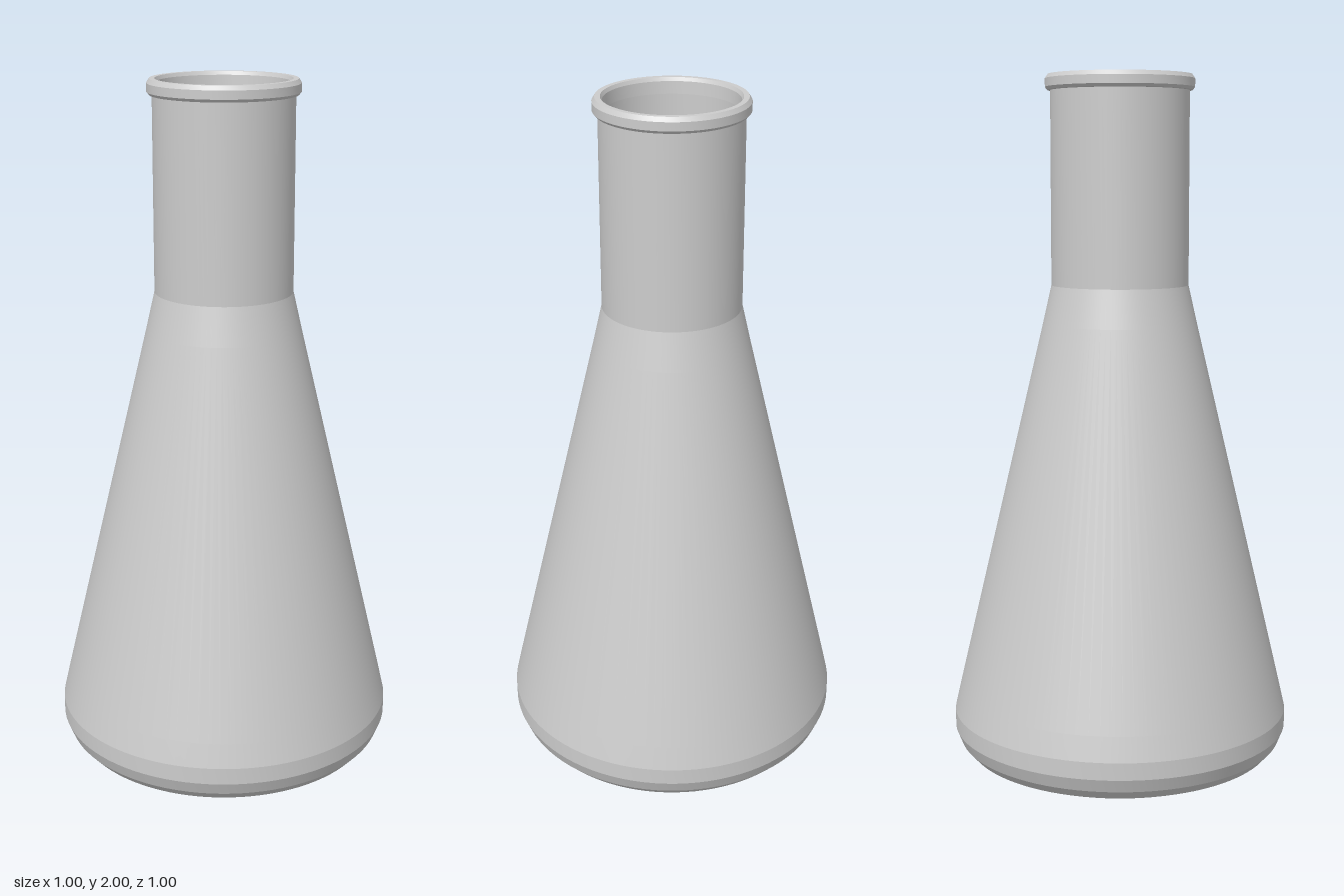
import * as THREE from 'three';
import { toCreasedNormals } from 'three/addons/utils/BufferGeometryUtils.js';

const glass = new THREE.MeshStandardMaterial({ color: 0xcccccc });
glass.name = 'grey glass';

// Revolve a profile of [radius, height] points, keeping the bands between them crisp
function revolve(name, profile) {
  const points = profile.map(([r, y]) => new THREE.Vector2(r, y));
  const geometry = toCreasedNormals(new THREE.LatheGeometry(points, 96), 0.09);
  const mesh = new THREE.Mesh(geometry, glass);
  mesh.name = name;
  return mesh;
}

export function createModel() {
  const flask = new THREE.Group();
  flask.name = 'conicalFlask';

  // Outer wall: flat base, rounded heel, cone, shoulder, straight neck
  flask.add(revolve('outerWall', [
    [0, 0], [0.43, 0], [0.457, 0.012], [0.482, 0.04], [0.498, 0.08],
    [0.498, 0.13], [0.482, 0.2], [0.225, 1.29], [0.2, 1.4], [0.2, 1.955],
  ]));

  // Rolled lip, turning over into the mouth
  flask.add(revolve('lip', [
    [0.2, 1.955], [0.208, 1.956], [0.215, 1.964], [0.215, 1.988],
    [0.207, 2], [0.192, 2], [0.187, 1.99], [0.185, 1.955],
  ]));

  // Inner wall, running down from the mouth to the floor
  flask.add(revolve('innerWall', [
    [0.185, 1.955], [0.185, 1.4], [0.21, 1.29], [0.467, 0.2], [0.483, 0.13],
    [0.483, 0.08], [0.467, 0.047], [0.447, 0.025], [0.425, 0.015], [0, 0.015],
  ]));

  return flask;
}
